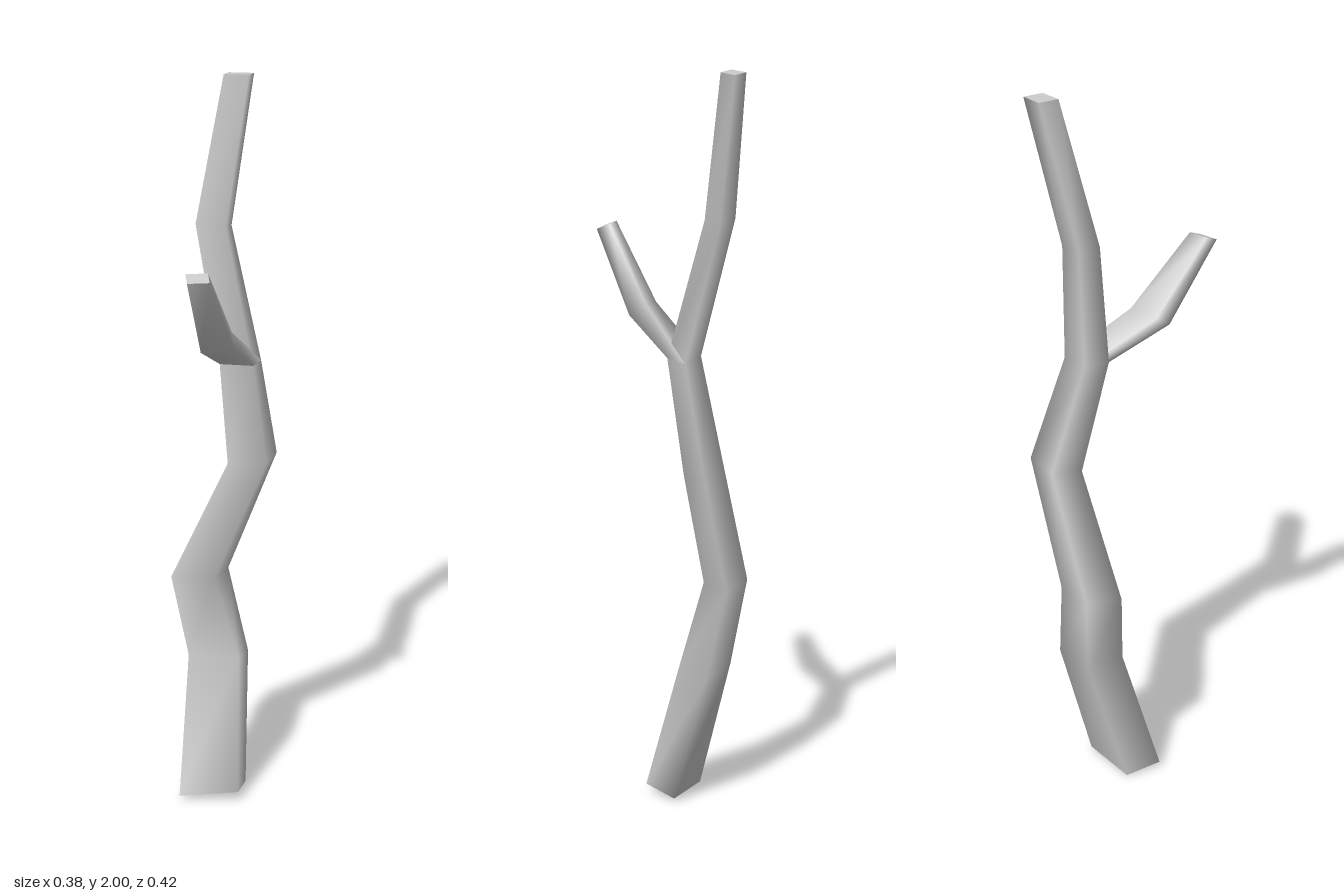
import * as THREE from 'three';

const material = new THREE.MeshStandardMaterial({ color: 0xcccccc });

// Ring: centre c, half diagonal p towards the right corner, half diagonal q towards the front corner.
const ringPoints = ([c, p, q]) => {
  const at = (v, s) => c.map((n, i) => n + s * v[i]);
  return [at(p, 1), at(q, 1), at(p, -1), at(q, -1)];
};

// Smooth four-sided skin through a list of rings.
function makeSkin(rings) {
  const index = [];
  for (let i = 0; i < rings.length - 1; i++) {
    for (let j = 0; j < 4; j++) {
      const a = i * 4 + j, b = i * 4 + (j + 1) % 4;
      index.push(a, a + 4, b, b, a + 4, b + 4);
    }
  }
  const geometry = new THREE.BufferGeometry();
  geometry.setAttribute('position', new THREE.Float32BufferAttribute(rings.flatMap(ringPoints).flat(), 3));
  geometry.setIndex(index);
  geometry.computeVertexNormals();
  return geometry;
}

// Flat cut end.
function makeCap(ring, facesUp) {
  const geometry = new THREE.BufferGeometry();
  geometry.setAttribute('position', new THREE.Float32BufferAttribute(ringPoints(ring).flat(), 3));
  geometry.setIndex(facesUp ? [0, 2, 1, 0, 3, 2] : [0, 1, 2, 0, 2, 3]);
  geometry.computeVertexNormals();
  return geometry;
}

export function createModel() {
  const group = new THREE.Group();
  group.name = 'branch';
  const add = (name, geometry) => {
    const mesh = new THREE.Mesh(geometry, material);
    mesh.name = name;
    group.add(mesh);
  };

  // Main stem, from the cut base to the tip
  const fork = [[0.05, 1.25, -0.05], [0.063, -0.005, -0.01], [0.02, 0, 0.042]];
  const stem = [
    [[-0.047, 0.014, -0.009], [0.105, -0.004, -0.016], [0.05, 0.013, 0.069]],
    [[0.006, 0.385, -0.103], [0.094, -0.014, -0.014], [0.035, 0.005, 0.066]],
    [[-0.03, 0.615, -0.154], [0.089, -0.004, -0.012], [0.022, 0, 0.057]],
    [[0.109, 0.95, -0.112], [0.076, 0.003, -0.01], [0.022, 0, 0.052]],
    fork,
    [[0.007, 1.61, -0.138], [0.053, -0.008, -0.006], [0.02, 0, 0.038]],
    [[0.094, 1.997, -0.18], [0.046, -0.003, -0.009], [0.016, 0.001, 0.031]],
  ];
  add('stem', makeSkin(stem));
  add('stemBase', makeCap(stem[0], false));
  add('stemTip', makeCap(stem[stem.length - 1], true));

  // Side twig growing out of the fork
  const twig = [
    fork,
    [[-0.066, 1.355, 0.077], [0.049, 0.018, -0.017], [0.037, -0.012, 0.031]],
    [[-0.157, 1.564, 0.188], [0.033, 0.007, -0.013], [0.024, -0.008, 0.023]],
  ];
  add('twig', makeSkin(twig));
  add('twigTip', makeCap(twig[2], true));

  return group;
}
